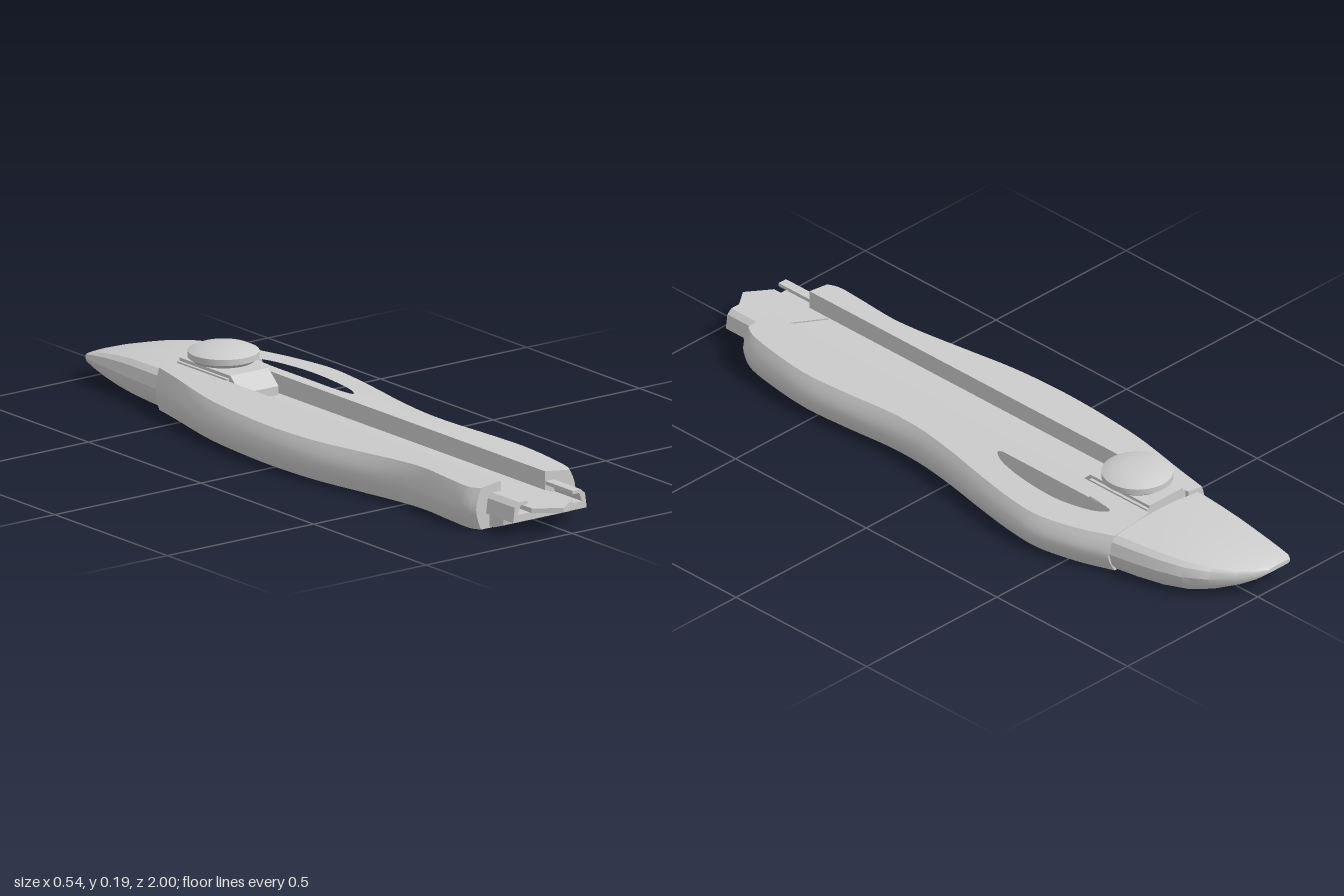
import * as THREE from 'three';
import { toCreasedNormals } from 'three/addons/utils/BufferGeometryUtils.js';

const SLOT_L = -0.105, SLOT_R = 0.045, SLOT_X = -0.03;
const Z_BACK = -0.63, Z_FRONT = 0.82;
const grey = new THREE.MeshStandardMaterial({ color: 0xcccccc });

const mesh = (name, geo, crease = 0.55) => {
  const m = new THREE.Mesh(toCreasedNormals(geo, crease), grey);
  m.name = name;
  return m;
};

// Smooth list of plan points from a few [x, z] knots, as shape coordinates (x, -z)
const plan = (pts, n, closed = false) => {
  const curve = new THREE.CatmullRomCurve3(pts.map(([x, z]) => new THREE.Vector3(x, -z, 0)), closed);
  return curve.getPoints(n).slice(0, closed ? n : n + 1).map(p => new THREE.Vector2(p.x, p.y));
};
const shapeOf = pts => new THREE.Shape(pts.map(([x, y]) => new THREE.Vector2(x, y)));

// Plan outline [x, z] raised from y0 to y1
const slab = (pts, y0, y1) =>
  new THREE.ExtrudeGeometry(shapeOf(pts.map(([x, z]) => [x, -z])), { depth: y1 - y0, bevelEnabled: false })
    .rotateX(-Math.PI / 2).translate(0, y0, 0);

// Side outline [z, y] extruded from x0 to x1
const sideExtrude = (pts, x0, x1) =>
  new THREE.ExtrudeGeometry(shapeOf(pts), { depth: x1 - x0, bevelEnabled: false })
    .rotateY(-Math.PI / 2).translate(x1, 0, 0);

// One half of the handle: outer edge bulges at mid height, top slopes away from the slot
function handleHalf(name, edge, slotX, hole) {
  const side = Math.sign(edge[0][0] - slotX);
  const shape = new THREE.Shape([
    new THREE.Vector2(slotX, -Z_BACK), ...plan(edge, 44), new THREE.Vector2(slotX, -Z_FRONT),
  ]);
  if (hole) shape.holes.push(new THREE.Path(plan(hole, 36, true)));
  const geo = new THREE.ExtrudeGeometry(shape, { depth: 1, steps: 8, bevelEnabled: false });
  geo.rotateX(-Math.PI / 2);
  const p = geo.attributes.position;
  for (let i = 0; i < p.count; i++) {
    const x = p.getX(i), t = p.getY(i), dist = Math.abs(x - slotX);
    const inset = 0.025 * Math.pow(Math.abs(2 * t - 1), 1.6) * Math.min(1, dist / 0.13);
    p.setX(i, x - side * inset);
    p.setY(i, 0.002 + t * (0.126 - 0.1 * dist));
  }
  return mesh(name, geo, 0.6);
}

// End cap lofted through cross-sections [z, xLeft, xRight, yBottom, yTop]
function endCap() {
  const ring = [[0, .5], [.03, .18], [.08, 0], [.5, 0], [.92, 0], [.97, .18], [1, .5],
    [.97, .78], [.92, .9], [.7, .98], [.5, 1], [.3, .98], [.08, .9], [.03, .78]];
  const sections = [
    [Z_BACK, -.17, .2, .004, .123], [-.7, -.165, .187, .005, .121], [-.78, -.158, .168, .008, .117],
    [-.85, -.151, .142, .014, .109], [-.91, -.145, .1, .024, .099], [-.96, -.14, .042, .037, .087],
    [-.985, -.137, .0, .047, .079], [-1, -.125, -.04, .058, .071],
  ];
  const n = ring.length, pos = [], idx = [];
  for (const [z, l, r, b, t] of sections)
    for (const [u, v] of ring) pos.push(l + u * (r - l), b + v * (t - b), z);
  const last = (sections.length - 1) * n, centre = sections.length * n;
  for (const [z, l, r, b, t] of [sections[0], sections.at(-1)]) pos.push((l + r) / 2, (b + t) / 2, z);
  for (let j = 0; j < n; j++) {
    const k = (j + 1) % n;
    for (let s = 0; s < last; s += n)
      idx.push(s + j, s + n + j, s + k, s + k, s + n + j, s + n + k);
    idx.push(centre, j, k, centre + 1, last + k, last + j);
  }
  const geo = new THREE.BufferGeometry();
  geo.setAttribute('position', new THREE.Float32BufferAttribute(pos, 3));
  geo.setIndex(idx);
  return mesh('endCap', geo, 0.5);
}

export function createModel() {
  const model = new THREE.Group();
  model.name = 'utilityKnife';

  // Handle: two contoured halves either side of a slot
  const handle = new THREE.Group();
  handle.name = 'handle';
  handle.add(
    handleHalf('handleRight', [[-.17, Z_BACK], [-.195, -.53], [-.243, -.35], [-.265, -.15], [-.27, 0],
      [-.26, .17], [-.232, .33], [-.203, .47], [-.192, .57], [-.203, .7], [-.207, .79], [-.19, Z_FRONT]], SLOT_L),
    handleHalf('handleLeft', [[.203, Z_BACK], [.24, -.53], [.267, -.4], [.262, -.3], [.237, -.15],
      [.207, 0], [.188, .14], [.187, .25], [.2, .4], [.207, .55], [.19, .7], [.17, .79], [.15, Z_FRONT]], SLOT_R,
      // finger hole
      [[.12, -.54], [.15, -.51], [.178, -.42], [.182, -.33], [.17, -.22], [.145, -.14], [.118, -.11],
        [.105, -.15], [.104, -.3], [.106, -.48]]),
  );
  const floor = new THREE.BoxGeometry(SLOT_R - SLOT_L, 0.073, Z_FRONT - Z_BACK);
  handle.add(mesh('slotFloor', floor.translate(SLOT_X, 0.0385, (Z_FRONT + Z_BACK) / 2)));
  model.add(handle, endCap());

  // Blade guide: folded channel reaching out of the nose
  const guide = shapeOf([[-.107, .1], [-.135, .1], [-.15, .087], [-.156, .045], [.096, .045], [.09, .087],
    [.075, .1], [.047, .1], [.047, .09], [.07, .09], [.08, .065], [-.14, .065], [-.13, .09], [-.107, .09]]);
  model.add(mesh('bladeGuide',
    new THREE.ExtrudeGeometry(guide, { depth: 0.24, bevelEnabled: false }).translate(0, 0, 0.7)));

  // Pointed blade and the lip under the guide
  model.add(mesh('blade', slab([[-.1, .74], [.04, .83], [.04, .95], [-.03, 1], [-.1, .95]], .066, .079)));
  model.add(mesh('noseLip', sideExtrude([[.78, .004], [.84, .008], [.88, .022], [.885, .047], [.78, .047]], -.145, .085)));

  // Slider with sloped front and round thumb knob
  const slider = new THREE.Group();
  slider.name = 'slider';
  slider.add(mesh('sliderBlock',
    sideExtrude([[-.62, .07], [-.35, .07], [-.35, .1], [-.395, .141], [-.62, .141]], -.095, .035)));
  for (const [name, x0, x1] of [['sliderWingRight', -.104, -.094], ['sliderWingLeft', .034, .044]])
    slider.add(mesh(name, sideExtrude([[-.62, .07], [-.4, .07], [-.4, .132], [-.62, .132]], x0, x1)));
  const knob = [[0, .138], [.06, .138], [.06, .147], [.083, .148], [.098, .159], [.098, .176], [.075, .187],
    [.04, .193], [0, .195]].map(([r, y]) => new THREE.Vector2(r, y));
  slider.add(mesh('thumbKnob', new THREE.LatheGeometry(knob, 40).translate(SLOT_X, 0, -.51), 0.4));
  model.add(slider);
  return model;
}
